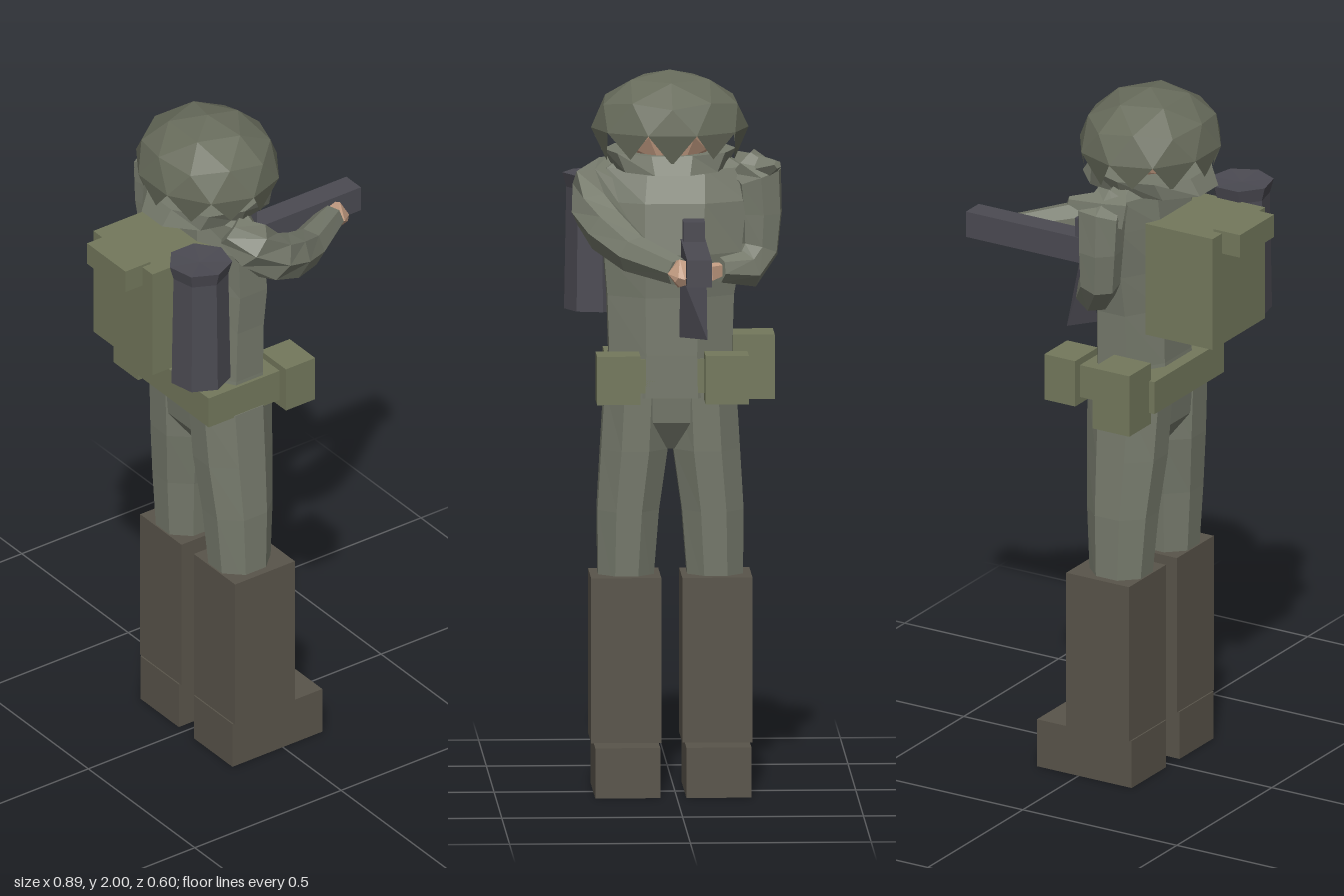
import * as THREE from 'three';

const mat = (color) => new THREE.MeshStandardMaterial({ color, flatShading: true, side: THREE.DoubleSide });
const V = (x, y, z) => new THREE.Vector3(x, y, z);

// Skin a list of point rings (counter-clockwise seen from the last ring), with closed ends
function skin(rings) {
  const n = rings[0].length, pos = [], idx = [];
  const centre = (r) => r.reduce((s, p) => s.add(p), V(0, 0, 0)).divideScalar(n);
  [...rings.flat(), centre(rings[0]), centre(rings.at(-1))].forEach((p) => pos.push(p.x, p.y, p.z));
  const last = (rings.length - 1) * n, c0 = rings.length * n;
  for (let i = 0; i < n; i++) {
    const j = (i + 1) % n;
    for (let k = 0; k < last; k += n) idx.push(k + i, k + j, k + n + i, k + j, k + n + j, k + n + i);
    idx.push(c0, j, i, c0 + 1, last + i, last + j);
  }
  const g = new THREE.BufferGeometry();
  g.setAttribute('position', new THREE.Float32BufferAttribute(pos, 3));
  g.setIndex(idx);
  const flat = g.toNonIndexed();
  flat.computeVertexNormals();
  return flat;
}

// Stack of horizontal elliptical sections: [y, centre x, centre z, half depth, half width]
function stack(sections, n = 8) {
  const grow = 1 / Math.cos(Math.PI / n);
  return skin(sections.map(([y, cx, cz, rx, rz]) => Array.from({ length: n }, (_, i) => {
    const a = ((i + 0.5) / n) * Math.PI * 2;
    return V(cx + rx * grow * Math.cos(a), y, cz - rz * grow * Math.sin(a));
  })));
}

// Limb along a path of [x, y, z, radius]
function limb(path, ref, n = 7) {
  const pts = path.map(([x, y, z]) => V(x, y, z));
  return skin(path.map((p, i) => {
    const t = pts[Math.min(i + 1, pts.length - 1)].clone().sub(pts[Math.max(i - 1, 0)]).normalize();
    const u = t.clone().cross(ref).normalize(), v = t.clone().cross(u);
    return Array.from({ length: n }, (_, k) => {
      const a = (k / n) * Math.PI * 2;
      return pts[i].clone().addScaledVector(u, p[3] * Math.cos(a)).addScaledVector(v, p[3] * Math.sin(a));
    });
  }));
}

// Box from its limits
function block(x0, x1, y0, y1, z0, z1) {
  return new THREE.BoxGeometry(x1 - x0, y1 - y0, z1 - z0).translate((x0 + x1) / 2, (y0 + y1) / 2, (z0 + z1) / 2);
}

// Faceted dome whose rim ends in hanging triangles
function helmetShape() {
  const ico = new THREE.IcosahedronGeometry(1, 1).rotateX(-Math.atan((1 + Math.sqrt(5)) / 2)).rotateY(Math.PI / 2);
  const p = ico.attributes.position, kept = [];
  for (let i = 0; i < p.count; i += 3) {
    if ((p.getY(i) + p.getY(i + 1) + p.getY(i + 2)) / 3 < -0.25) continue;
    for (let k = i; k < i + 3; k++) kept.push(p.getX(k), p.getY(k), p.getZ(k));
  }
  const g = new THREE.BufferGeometry();
  g.setAttribute('position', new THREE.Float32BufferAttribute(kept, 3));
  g.scale(0.197, 0.16, 0.218).translate(-0.1, 1.84, 0.01);
  g.computeVertexNormals();
  return g;
}

export function createModel() {
  const model = new THREE.Group();
  const cloth = mat(0x767a6c), helmet = mat(0x676b5b), leather = mat(0x59544a);
  const canvas = mat(0x73785c), steel = mat(0x4b4a52), flesh = mat(0xc39c82);
  const add = (name, geometry, material) => {
    const mesh = new THREE.Mesh(geometry, material);
    mesh.name = name;
    model.add(mesh);
    return mesh;
  };

  // Head, helmet and collar
  add('head', new THREE.IcosahedronGeometry(1, 1).scale(0.14, 0.13, 0.12).translate(-0.08, 1.83, 0.01), flesh);
  add('helmet', helmetShape(), helmet);
  add('collar', stack([[1.73, -0.1, 0.01, 0.19, 0.15], [1.78, -0.105, 0.01, 0.16, 0.175]], 10), cloth);

  // Torso and hips
  add('torso', stack([
    [1.1, -0.085, 0.01, 0.115, 0.175], [1.22, -0.08, 0.01, 0.11, 0.17], [1.38, -0.08, 0.01, 0.108, 0.175],
    [1.5, -0.077, 0.005, 0.112, 0.19], [1.64, -0.09, 0, 0.1, 0.2], [1.73, -0.105, -0.005, 0.075, 0.19],
    [1.77, -0.105, 0, 0.05, 0.13],
  ]), cloth);
  add('hips', stack([[0.95, -0.09, 0.01, 0.05, 0.05], [1.03, -0.09, 0.01, 0.105, 0.13], [1.14, -0.09, 0.01, 0.115, 0.17]]), cloth);

  // Legs and boots, mirrored about z = 0.01
  for (const [side, s] of [['right', 1], ['left', -1]]) {
    const z = (d) => 0.01 + s * d;
    add(side + 'Leg', stack([
      [0.55, -0.08, z(0.125), 0.08, 0.075], [0.78, -0.083, z(0.117), 0.095, 0.085],
      [0.95, -0.087, z(0.1), 0.108, 0.092], [1.12, -0.09, z(0.092), 0.115, 0.09],
    ]), cloth);
    const cz = z(0.126);
    add(side + 'BootShaft', block(-0.168, 0.036, 0.14, 0.6, cz - 0.097, cz + 0.097), leather);
    const foot = block(-0.172, 0.135, 0, 0.14, cz - 0.09, cz + 0.09);
    add(side + 'BootFoot', foot, leather);
  }

  // Belt with pouches
  add('belt', block(-0.227, 0.03, 1.115, 1.21, -0.175, 0.19), canvas);
  add('frontPouchRight', block(0.015, 0.115, 1.095, 1.23, 0.1, 0.22), canvas);
  add('frontPouchLeft', block(0.015, 0.115, 1.095, 1.23, -0.2, -0.08), canvas);
  add('sidePouch', block(-0.21, -0.09, 1.08, 1.26, -0.28, -0.165), canvas);

  // Backpack with roll, and the canister beside it
  add('backpack', block(-0.388, -0.17, 1.325, 1.655, -0.13, 0.147), canvas);
  add('packRoll', block(-0.446, -0.36, 1.595, 1.662, -0.08, 0.1), canvas);
  const profile = [[0, 1.31], [0.085, 1.31], [0.079, 1.65], [0.09, 1.69], [0, 1.685]].map(([r, y]) => new THREE.Vector2(r, y));
  add('canister', new THREE.LatheGeometry(profile, 7).translate(-0.272, 0, 0.21), steel);

  // Arms: the right one reaches to the barrel, the left one bends to the grip
  add('rightArm', limb([
    [-0.14, 1.72, 0.17, 0.045], [-0.1, 1.68, 0.215, 0.068], [-0.03, 1.615, 0.218, 0.068],
    [0.05, 1.57, 0.185, 0.066], [0.16, 1.52, 0.115, 0.055], [0.325, 1.495, 0.002, 0.04],
  ], V(0, 1, 0)), cloth);
  add('rightHand', limb([[0.31, 1.495, 0.01, 0.03], [0.345, 1.495, -0.01, 0.045], [0.38, 1.475, 0, 0.016]], V(0, 1, 0), 5), flesh);
  add('leftArm', limb([
    [-0.1, 1.74, -0.19, 0.05], [-0.09, 1.7, -0.235, 0.07], [-0.09, 1.6, -0.24, 0.064],
    [-0.085, 1.5, -0.235, 0.058], [-0.05, 1.45, -0.2, 0.056], [0, 1.455, -0.12, 0.038],
  ], V(1, 0, -1)), cloth);
  add('leftHand', limb([[-0.005, 1.455, -0.125, 0.025], [0.02, 1.45, -0.09, 0.033], [0.035, 1.45, -0.05, 0.018]], V(0, 1, 0), 5), flesh);
  // Raised shoulder fold
  add('leftShoulder', limb([[-0.14, 1.71, -0.2, 0.06], [-0.09, 1.72, -0.235, 0.05], [-0.015, 1.745, -0.285, 0.012]], V(0, 1, 0), 5), cloth);

  // Rifle with sight and wedge-shaped magazine
  add('rifleBody', block(0.0, 0.442, 1.47, 1.545, -0.083, -0.015), steel);
  add('rifleSight', block(0.0, 0.09, 1.54, 1.6, -0.08, -0.02), steel);
  const wedge = new THREE.BufferGeometry();
  wedge.setAttribute('position', new THREE.Float32BufferAttribute([
    0.055, 1.275, -0.01, 0.113, 1.275, -0.085, 0.055, 1.465, -0.085, 0.113, 1.465, -0.01,
  ], 3));
  wedge.setIndex([0, 1, 3, 0, 3, 2, 0, 2, 1, 1, 2, 3]);
  wedge.computeVertexNormals();
  add('rifleMagazine', wedge, steel);

  return model;
}
